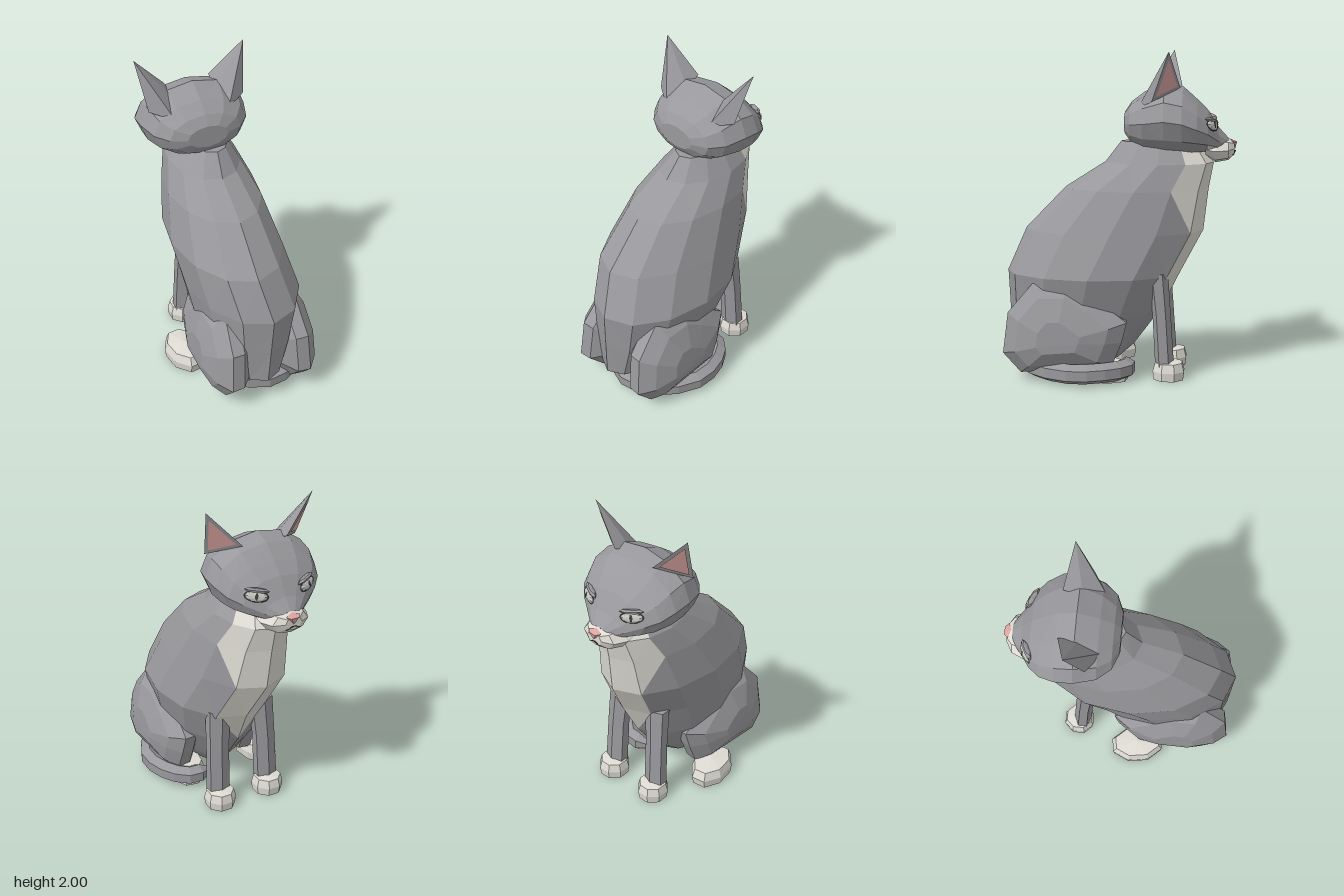
import * as THREE from 'three';
import { ConvexGeometry } from 'three/addons/geometries/ConvexGeometry.js';

const V = (x, y, z) => new THREE.Vector3(x, y, z);
const HEAD_X = -0.09;
const SIDES = 12;

// Skin cross-section loops into a closed surface; paint(row, seg, upper) picks a material index
function loft(rings, paint = () => 0) {
  const lists = [[], []];
  const tri = (m, ...pts) => pts.forEach(p => lists[m].push(p.x, p.y, p.z));
  const n = rings[0].length;
  for (let i = 0; i < rings.length - 1; i++) {
    for (let j = 0; j < n; j++) {
      const k = (j + 1) % n;
      const a = rings[i][j], b = rings[i][k], c = rings[i + 1][k], d = rings[i + 1][j];
      if (j < n / 2) {
        tri(paint(i, j, false), a, b, c);
        tri(paint(i, j, true), a, c, d);
      } else {
        tri(paint(i, j, false), a, b, d);
        tri(paint(i, j, true), b, c, d);
      }
    }
  }
  const centre = r => r.reduce((s, p) => s.add(p), V(0, 0, 0)).divideScalar(n);
  const first = rings[0], last = rings[rings.length - 1], c0 = centre(first), c1 = centre(last);
  for (let j = 0; j < n; j++) {
    const k = (j + 1) % n;
    tri(0, c0, first[k], first[j]);
    tri(0, c1, last[j], last[k]);
  }
  const geo = new THREE.BufferGeometry();
  geo.setAttribute('position', new THREE.Float32BufferAttribute([...lists[0], ...lists[1]], 3));
  geo.addGroup(0, lists[0].length / 3, 0);
  if (lists[1].length) geo.addGroup(lists[0].length / 3, lists[1].length / 3, 1);
  geo.computeVertexNormals();
  return geo;
}

const loop = (n, f) => Array.from({ length: n }, (_, j) => f((j / n) * Math.PI * 2));

// Upright loop, starting at the chest
const bodyRing = ([y, cx, hw, back, front]) => loop(SIDES, t =>
  V(cx - hw * Math.sin(t), y, (back + front) / 2 - (back - front) / 2 * Math.cos(t)));

// Loop facing forward, starting at the top
const faceRing = ([z, low, high, hw], n = SIDES) => loop(n, t =>
  V(HEAD_X + hw * Math.sin(t), (low + high) / 2 + (high - low) / 2 * Math.cos(t), z));

export function createModel() {
  const cat = new THREE.Group();
  cat.name = 'sittingCat';
  const mat = (name, color, side = THREE.FrontSide) =>
    Object.assign(new THREE.MeshStandardMaterial({ color, flatShading: true, side }), { name });
  const fur = mat('greyFur', 0x99999d);
  const cream = mat('creamFur', 0xdedcd4);
  const pink = mat('pinkSkin', 0xdba5a1, THREE.DoubleSide);
  const dark = mat('darkLine', 0x3a3a3c);
  const iris = mat('paleEye', 0xc4c6be);
  const add = (name, geo, material, parent = cat) => {
    const mesh = new THREE.Mesh(geo, material);
    mesh.name = name;
    parent.add(mesh);
    return mesh;
  };

  // Body with a cream bib that tapers downward
  const bodyRings = [
    [0.08, 0, 0.13, 0.55, 0.02], [0.17, 0, 0.2, 0.69, -0.08], [0.4, 0.01, 0.29, 0.7, -0.25],
    [0.64, 0.02, 0.345, 0.71, -0.37], [0.9, -0.035, 0.335, 0.6, -0.51],
    [1.16, -0.045, 0.28, 0.35, -0.54], [1.32, -0.05, 0.22, 0.1, -0.57], [1.45, -0.04, 0.13, 0, -0.48],
  ].map(bodyRing);
  const bib = (row, seg, upper) => {
    const fromFront = Math.min(seg, SIDES - 1 - seg);
    const startRow = 2 + 2 * fromFront;
    return fromFront < 2 && (row > startRow || (row === startRow && upper)) ? 1 : 0;
  };
  add('body', loft(bodyRings, bib), [fur, cream]);

  // Head, cream under the chin
  const headRings = [
    [-0.02, 1.49, 1.63, 0.13], [-0.06, 1.43, 1.69, 0.23], [-0.14, 1.385, 1.75, 0.3],
    [-0.27, 1.36, 1.81, 0.34], [-0.38, 1.36, 1.78, 0.335], [-0.47, 1.37, 1.7, 0.3],
    [-0.535, 1.375, 1.635, 0.24], [-0.6, 1.38, 1.53, 0.14], [-0.66, 1.39, 1.465, 0.06],
  ].map(r => faceRing(r));
  add('head', loft(headRings, (row, seg) => (row > 5 && seg > 3 && seg < 8 ? 1 : 0)), [fur, cream]);

  // Muzzle, nose and mouth
  const muzzleRings = [
    [-0.52, 1.36, 1.45, 0.15], [-0.58, 1.315, 1.475, 0.155],
    [-0.66, 1.33, 1.465, 0.118], [-0.695, 1.365, 1.445, 0.055],
  ].map(r => faceRing(r, 8));
  add('muzzle', loft(muzzleRings), [cream]);
  add('nose', new ConvexGeometry([
    V(-0.137, 1.448, -0.685), V(-0.043, 1.448, -0.685), V(-0.09, 1.4, -0.7),
    V(-0.115, 1.442, -0.71), V(-0.065, 1.442, -0.71), V(-0.09, 1.462, -0.67),
  ]), pink);
  for (const s of [-1, 1]) {
    const lip = add('mouthLine', new THREE.BoxGeometry(0.05, 0.005, 0.006), dark);
    lip.position.set(HEAD_X + s * 0.025, 1.378, -0.694);
    lip.rotation.set(0, s * -0.35, s * -0.45);
  }

  for (const s of [-1, 1]) {
    const side = s > 0 ? 'left' : 'right';

    // Ear pyramid with a pink inner panel on its outward-turned front face
    const at = (x, y, z) => V(HEAD_X + s * x, y, z);
    const tip = at(0.35, 2.0, -0.305), inner = at(0.145, 1.78, -0.365);
    const outer = at(0.305, 1.7, -0.2), rear = at(0.17, 1.66, -0.11), bulge = at(0.13, 1.74, -0.25);
    add(side + 'Ear', new ConvexGeometry([tip, inner, outer, rear, bulge]), fur);
    const face = [tip, inner, outer];
    const mid = V(0, 0, 0).add(tip).add(inner).add(outer).divideScalar(3);
    const normal = inner.clone().sub(tip).cross(outer.clone().sub(tip)).normalize();
    if (normal.z > 0) normal.negate();
    add(side + 'InnerEar', new THREE.BufferGeometry().setFromPoints(
      face.map(p => p.clone().lerp(mid, 0.27).addScaledVector(normal, 0.005))), pink)
      .geometry.computeVertexNormals();

    // Almond eye with thin dark rim, slit pupil and low brow
    const eye = new THREE.Group();
    eye.name = side + 'Eye';
    eye.position.copy(at(0.168, 1.555, -0.56));
    eye.lookAt(at(0.168 + 0.38, 1.555 + 0.28, -0.56 - 0.85));
    eye.rotateZ(s * -0.15);
    cat.add(eye);
    add('eyeRim', new THREE.SphereGeometry(1, 8, 6), dark, eye).scale.set(0.074, 0.036, 0.008);
    add('eyeball', new THREE.SphereGeometry(1, 8, 6), iris, eye).scale.set(0.068, 0.031, 0.018);
    const pupil = add('pupil', new THREE.CircleGeometry(1, 6), dark, eye);
    pupil.scale.set(0.01, 0.022, 1);
    pupil.position.z = 0.019;
    const brow = add('brow', new THREE.SphereGeometry(1, 6, 4), fur, eye);
    brow.scale.set(0.075, 0.016, 0.022);
    brow.position.set(0, 0.034, -0.002);

    // Thigh: side outline shrunk toward its inner and outer faces
    const outline = [[0.51, 0.61], [0.3, 0.615], [0.13, 0.51], [-0.06, 0.37], [-0.03, 0.25],
      [0.03, 0.1], [0.59, 0.05], [0.7, 0.17], [0.67, 0.42]];
    const shift = s > 0 ? 0 : -0.05;
    const thigh = [[0.12, 0.7], [0.21, 0.98], [0.29, 1], [0.36, 0.75], [0.405, 0.35]].flatMap(([x, k]) =>
      outline.map(([z, y]) => {
        const yy = 0.27 + (y - 0.27) * k;
        return V(s * (x + shift - Math.max(0, yy - 0.25) * 0.08), yy, 0.36 + (z - 0.36) * k);
      }));
    add(side + 'Thigh', new ConvexGeometry(thigh), fur);

    // Front leg
    const leg = loft([[0.08, 0.172, -0.285, 0.058], [0.4, 0.165, -0.265, 0.056], [0.66, 0.15, -0.24, 0.062]]
      .map(([y, x, z, r]) => loop(6, t => V(s * x - 1.35 * r * Math.sin(t), y, z - r * Math.cos(t)))));
    add(side + 'FrontLeg', leg, [fur]);

    // Paws: one chamfered pad, stretched for the hind foot
    const pad = new THREE.LatheGeometry([[0, 0], [0.94, 0], [1, 0.055], [0.86, 0.11], [0, 0.125]]
      .map(([r, y]) => new THREE.Vector2(r, y)), 8, Math.PI / 8);
    const front = add(side + 'FrontPaw', pad, cream);
    front.scale.set(0.1, 0.96, 0.104);
    front.position.set(s * 0.172, 0, -0.31);
    const hind = add(side + 'HindPaw', pad, cream);
    hind.scale.set(0.12, 1, 0.18);
    hind.position.set(s > 0 ? 0.21 : -0.32, 0, 0.1);
    hind.rotation.y = s * -0.15;
  }

  // Tail curled round the left side
  const path = new THREE.CatmullRomCurve3([
    V(-0.17, 0.09, 0.47), V(0.05, 0.07, 0.57), V(0.24, 0.07, 0.5), V(0.38, 0.07, 0.28),
    V(0.355, 0.075, 0.08), V(0.25, 0.075, -0.045), V(0.12, 0.075, -0.04),
  ]);
  const tailRings = Array.from({ length: 13 }, (_, i) => {
    const u = i / 12, c = path.getPoint(u);
    const across = path.getTangent(u).cross(V(0, 1, 0)).normalize();
    const r = i === 0 || i === 12 ? 0.03 : 0.062;
    return loop(6, t => V(c.x, c.y + r * Math.cos(t), c.z).addScaledVector(across, r * Math.sin(t)));
  });
  add('tail', loft(tailRings), [fur]);

  return cat;
}
